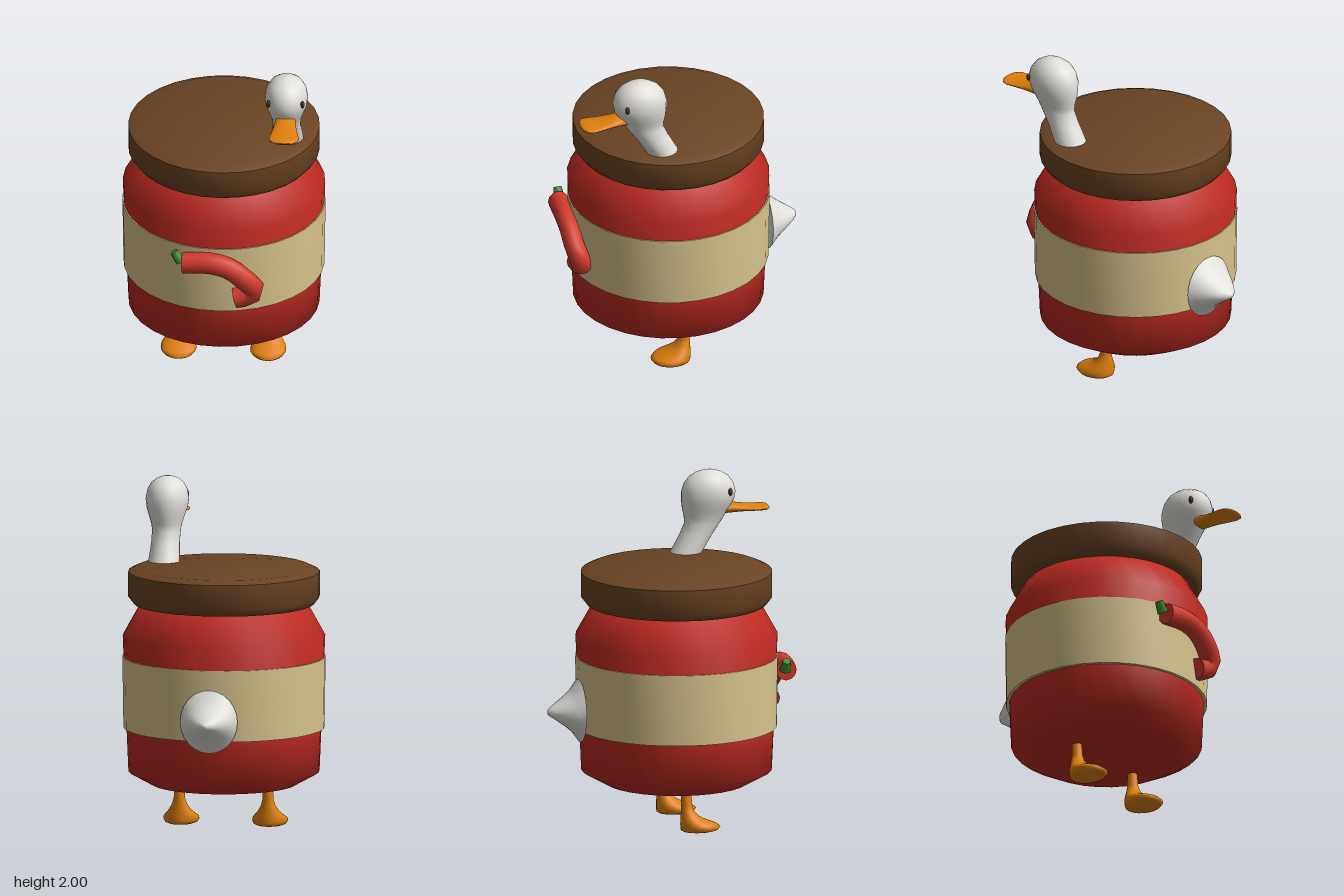
import * as THREE from 'three';
import { toCreasedNormals } from 'three/addons/utils/BufferGeometryUtils.js';

const material = (name, color) => {
  const m = new THREE.MeshStandardMaterial({ color });
  m.name = name;
  return m;
};

const V = (x, y, z) => new THREE.Vector3(x, y, z);

// Smooth skin over rings {c, u, v, a, b}: centre, two axes, two radii; u x v points along the run
function loft(rings, sides = 24) {
  const pos = [], index = [];
  rings.forEach(({ c, u, v, a, b }, i) => {
    for (let j = 0; j < sides; j++) {
      const t = (j / sides) * Math.PI * 2;
      const p = c.clone().addScaledVector(u, Math.cos(t) * a).addScaledVector(v, Math.sin(t) * b);
      pos.push(p.x, p.y, p.z);
      if (i === rings.length - 1) continue;
      const k = (j + 1) % sides, lo = i * sides, hi = lo + sides;
      index.push(lo + j, lo + k, hi + j, lo + k, hi + k, hi + j);
    }
  });
  const g = new THREE.BufferGeometry();
  g.setAttribute('position', new THREE.Float32BufferAttribute(pos, 3));
  g.setIndex(index);
  g.computeVertexNormals();
  return g;
}

// Adds flat closing discs, with their own vertices, at both ends
function capped(rings) {
  const first = rings[0], last = rings[rings.length - 1];
  const point = (r) => ({ ...r, a: 0, b: 0 });
  return [point(first), first, ...rings, last, point(last)];
}

// Rows are [y, z centre, x radius, z radius], rising
const upright = (rows) => rows.map(([y, z, rx, rz]) =>
  ({ c: V(0, y, z), u: V(0, 0, 1), v: V(1, 0, 0), a: rz, b: rx }));
// Rows are [z, y centre, x radius, y radius], going forward
const forward = (rows) => rows.map(([z, y, rx, ry]) =>
  ({ c: V(0, y, z), u: V(1, 0, 0), v: V(0, 1, 0), a: rx, b: ry }));

export function createModel() {
  const group = new THREE.Group();
  const red = material('jar red', 0xbd2a21);
  const brown = material('lid brown', 0x6b4423);
  const tan = material('label tan', 0xd8c48c);
  const white = material('feather white', 0xe0dfda);
  const orange = material('beak orange', 0xe0800c);
  const chilliRed = material('chilli red', 0xd33b2d);
  const green = material('stem green', 0x3a8a2c);
  const dark = material('eye brown', 0x4f2a10);

  const add = (name, geometry, mat, x = 0, y = 0, z = 0, parent = group) => {
    const mesh = new THREE.Mesh(geometry, mat);
    mesh.name = name;
    mesh.position.set(x, y, z);
    parent.add(mesh);
    return mesh;
  };
  const turned = (points) => toCreasedNormals(
    new THREE.LatheGeometry(points.map(([r, y]) => new THREE.Vector2(r, y)), 32), 1.1);

  // Jar, label band and lid
  const jarZ = 0.047;
  add('jar', turned([[0, 0.25], [0.42, 0.25], [0.555, 0.325], [0.566, 0.58], [0.588, 1.12], [0.48, 1.315], [0, 1.315]]),
    red, 0, 0, jarZ);
  add('label', turned([[0.56, 0.582], [0.584, 0.582], [0.59, 1.0], [0.575, 1.0]]), tan, 0, 0, jarZ);
  add('lid', turned([[0, 1.31], [0.525, 1.31], [0.556, 1.35], [0.556, 1.497], [0.505, 1.52], [0, 1.52]]),
    brown, 0, 0, jarZ);

  // Head and neck rising through the lid
  const head = new THREE.Group();
  head.name = 'head';
  head.position.x = 0.377;
  group.add(head);
  add('headAndNeck', loft(upright([
    [1.49, 0.19, 0.094, 0.094], [1.52, 0.21, 0.092, 0.094], [1.62, 0.268, 0.083, 0.097],
    [1.69, 0.308, 0.083, 0.106], [1.73, 0.318, 0.09, 0.121], [1.77, 0.326, 0.103, 0.138],
    [1.82, 0.339, 0.119, 0.156], [1.87, 0.344, 0.126, 0.161], [1.92, 0.345, 0.117, 0.147],
    [1.96, 0.346, 0.095, 0.117], [1.985, 0.347, 0.063, 0.077], [1.996, 0.348, 0.033, 0.04],
    [2.0, 0.348, 0, 0],
  ])), white, 0, 0, 0, head);
  add('beak', loft(forward([
    [0.42, 1.77, 0.055, 0.034], [0.48, 1.77, 0.061, 0.031], [0.53, 1.767, 0.067, 0.024],
    [0.59, 1.763, 0.078, 0.018], [0.64, 1.762, 0.088, 0.016], [0.675, 1.763, 0.083, 0.015],
    [0.697, 1.764, 0.055, 0.012], [0.706, 1.765, 0, 0],
  ])), orange, 0, 0, 0, head);
  for (const s of [-1, 1]) {
    const eye = add(s > 0 ? 'leftEye' : 'rightEye', new THREE.SphereGeometry(1, 14, 10), dark, s * 0.099, 1.88, 0.45, head);
    eye.scale.set(0.012, 0.023, 0.013);
  }

  // Webbed feet with short legs
  const foot = loft(capped(upright([
    [0.005, 0.105, 0.075, 0.092], [0.012, 0.112, 0.094, 0.11], [0.028, 0.117, 0.104, 0.117],
    [0.045, 0.107, 0.102, 0.107], [0.065, 0.08, 0.086, 0.08], [0.09, 0.056, 0.064, 0.055],
    [0.125, 0.04, 0.043, 0.038], [0.16, 0.035, 0.033, 0.032], [0.235, 0.032, 0.029, 0.029],
  ])));
  for (const s of [-1, 1]) add(s > 0 ? 'leftFoot' : 'rightFoot', foot, orange, s * 0.26, 0, 0);

  // Pointed tail flaring onto the jar
  add('tail', loft(capped(forward([
    [-0.73, 0.7, 0, 0], [-0.725, 0.7, 0.022, 0.018], [-0.7, 0.7, 0.058, 0.035], [-0.66, 0.7, 0.092, 0.063],
    [-0.62, 0.7, 0.122, 0.092], [-0.58, 0.7, 0.147, 0.128], [-0.54, 0.7, 0.169, 0.185],
  ]))), white);

  // Curled chilli on the label
  const path = new THREE.CatmullRomCurve3([
    V(-0.21, 0.915, 0.65), V(-0.05, 0.923, 0.666), V(0.06, 0.893, 0.67), V(0.15, 0.82, 0.668),
    V(0.205, 0.75, 0.65), V(0.175, 0.7, 0.637), V(0.093, 0.678, 0.635),
  ]);
  const steps = 12, frames = path.computeFrenetFrames(steps);
  const chilliRings = frames.tangents.map((_, i) => ({
    c: path.getPointAt(i / steps), u: frames.normals[i], v: frames.binormals[i], a: 0.063, b: 0.06,
  }));
  add('chilli', loft(capped(chilliRings), 12), chilliRed);
  const stem = add('chilliStem', new THREE.CylinderGeometry(0.024, 0.034, 0.07, 8), green, -0.242, 0.95, 0.638);
  stem.rotation.z = 0.6;

  return group;
}
